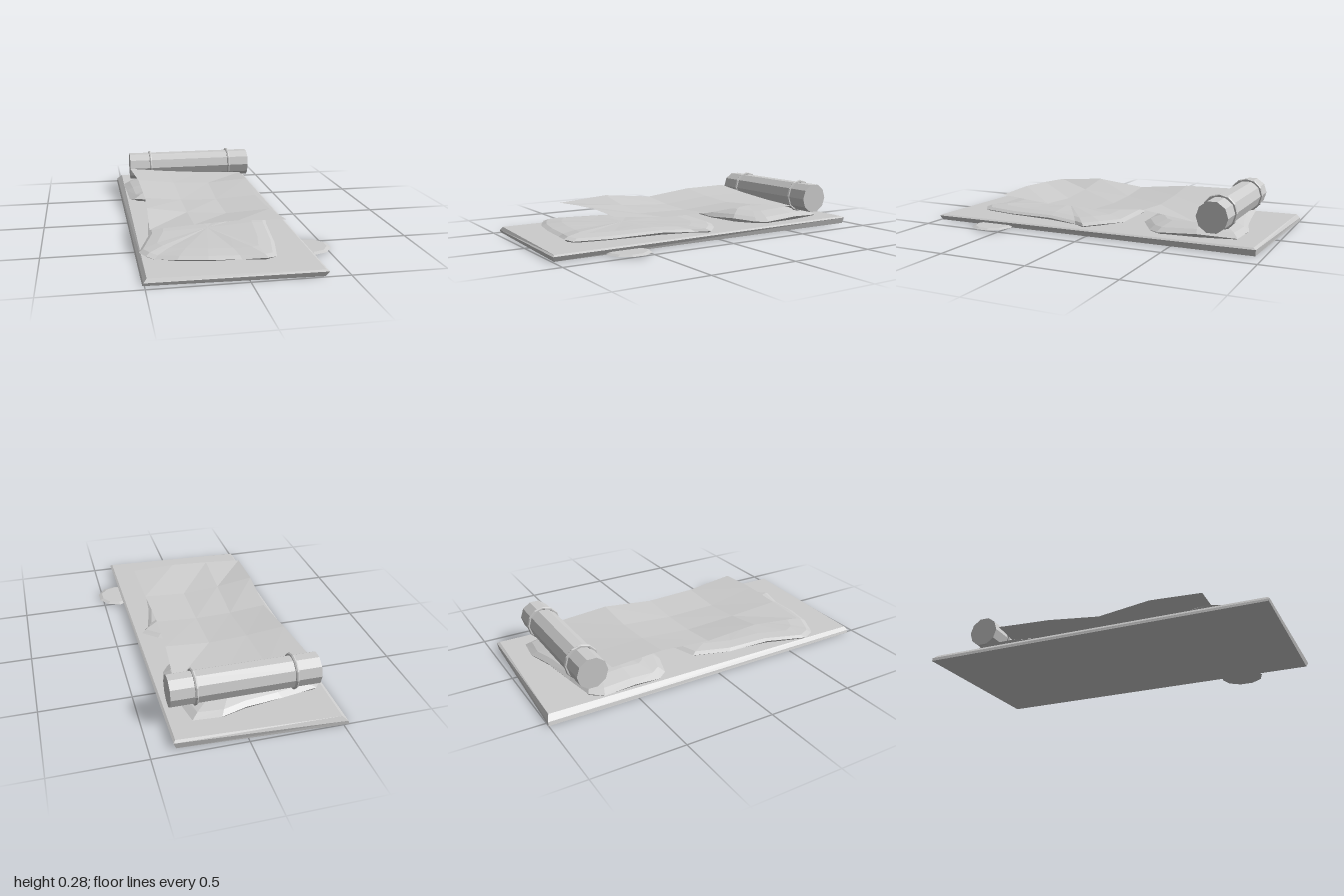
import * as THREE from 'three';

const grey = new THREE.MeshStandardMaterial({ color: 0xcccccc, flatShading: true, side: THREE.DoubleSide });
grey.name = 'plain grey';

function add(group, name, geometry) {
  const mesh = new THREE.Mesh(geometry, grey);
  mesh.name = name;
  group.add(mesh);
  return mesh;
}

// Skins rows of equally many points; closed rows wrap round.
function skin(rows, closed = false) {
  const n = rows[0].length, index = [];
  for (let r = 0; r < rows.length - 1; r++) {
    for (let i = 0; i < (closed ? n : n - 1); i++) {
      const a = r * n + i, b = r * n + (i + 1) % n;
      index.push(a, b, b + n, a, b + n, a + n);
    }
  }
  const g = new THREE.BufferGeometry();
  g.setAttribute('position', new THREE.Float32BufferAttribute(rows.flat(2), 3));
  g.setIndex(index);
  const flat = g.toNonIndexed();
  flat.computeVertexNormals();
  return flat;
}

// Soft slab: an [x, z] outline carried through [scale, height, wobble] rings.
function lump(outline, cx, cz, rings) {
  return skin(rings.map(([s, y, w = 0]) => outline.map(([x, z], i) => [
    cx + (x - cx) * s, y + w * Math.sin(i * 2.3), cz + (z - cz) * s,
  ])), true);
}

export function createModel() {
  const model = new THREE.Group();
  model.name = 'bedding';

  // Ground mat with bevelled, slightly skewed edges
  const bottom = [[-0.51, 0, 0.955], [0.372, 0, 0.99], [0.365, 0, -0.955], [-0.53, 0, -1]];
  const rim = [[-0.505, 0.015, 0.96], [0.388, 0.027, 1], [0.378, 0.036, -0.96], [-0.525, 0.02, -1]];
  const top = [[-0.488, 0.034, 0.948], [0.375, 0.034, 0.988], [0.366, 0.044, -0.945], [-0.495, 0.046, -0.985]];
  const centre = (y) => Array(4).fill([-0.06, y, 0]);
  add(model, 'groundMat', skin([centre(0), bottom, rim, top, centre(0.04)].map((r) => r), true));

  // Crumpled mattress, front half
  const front = [
    [-0.5, 0.63], [-0.47, 0.7], [-0.43, 0.73], [-0.32, 0.775], [-0.17, 0.8], [0, 0.805], [0.13, 0.83], [0.18, 0.8],
    [0.22, 0.6], [0.25, 0.3], [0.29, 0.11], [0.34, 0.035], [0.26, -0.04], [0.12, -0.12], [-0.15, -0.13],
    [-0.35, -0.06], [-0.41, 0.15], [-0.43, 0.4],
  ];
  add(model, 'frontMattress', lump(front, -0.1, 0.36, [
    [0.95, 0.033], [1, 0.046, 0.005], [0.94, 0.058, 0.004], [0.75, 0.067, 0.003], [0.4, 0.067, 0.002], [0, 0.068],
  ]));

  // Crumpled pillow, back half
  const back = [
    [-0.5, -0.68], [-0.49, -0.5], [-0.48, -0.35], [-0.45, -0.3], [-0.3, -0.25], [-0.05, -0.23], [0.15, -0.26],
    [0.27, -0.34], [0.31, -0.4], [0.3, -0.62], [0.25, -0.83], [0.1, -0.85], [-0.04, -0.81], [-0.25, -0.77], [-0.45, -0.75],
  ];
  add(model, 'backPillow', lump(back, -0.08, -0.53, [
    [0.93, 0.036], [1, 0.056, 0.008], [0.9, 0.077, 0.006], [0.68, 0.1, 0.004], [0.35, 0.108, 0.002], [0, 0.109],
  ]));

  // Thin rippled blanket, front row to back row: z, left x, right x, heights
  const blanketRows = [
    [0.605, -0.44, 0.28, [0.155, 0.17, 0.18, 0.17]],
    [0.305, -0.425, 0.265, [0.18, 0.145, 0.127, 0.14]],
    [0, -0.41, 0.255, [0.15, 0.128, 0.122, 0.135]],
    [-0.305, -0.425, 0.27, [0.18, 0.155, 0.143, 0.16]],
    [-0.612, -0.455, 0.29, [0.18, 0.155, 0.137, 0.125]],
  ];
  add(model, 'blanket', skin(blanketRows.map(([z, l, r, ys]) =>
    ys.map((y, i) => [l + (r - l) * [0, 0.32, 0.64, 1][i], y, z]))));

  // Rolled bolster held by two straps
  const roll = add(model, 'bedroll', new THREE.CylinderGeometry(0.087, 0.087, 0.805, 10));
  roll.rotation.z = Math.PI / 2;
  roll.position.set(-0.048, 0.174, -0.72);
  for (const x of [-0.313, 0.219]) {
    const strap = add(model, 'strap', new THREE.TorusGeometry(0.09, 0.009, 6, 12));
    strap.rotation.y = Math.PI / 2;
    strap.position.set(x, 0.176, -0.72);
  }

  // Flat disc beside the mat
  const disc = add(model, 'disc', new THREE.CylinderGeometry(0.1, 0.122, 0.008, 10));
  disc.position.set(0.405, 0.01, 0.597);
  disc.rotation.z = 0.015;

  return model;
}
